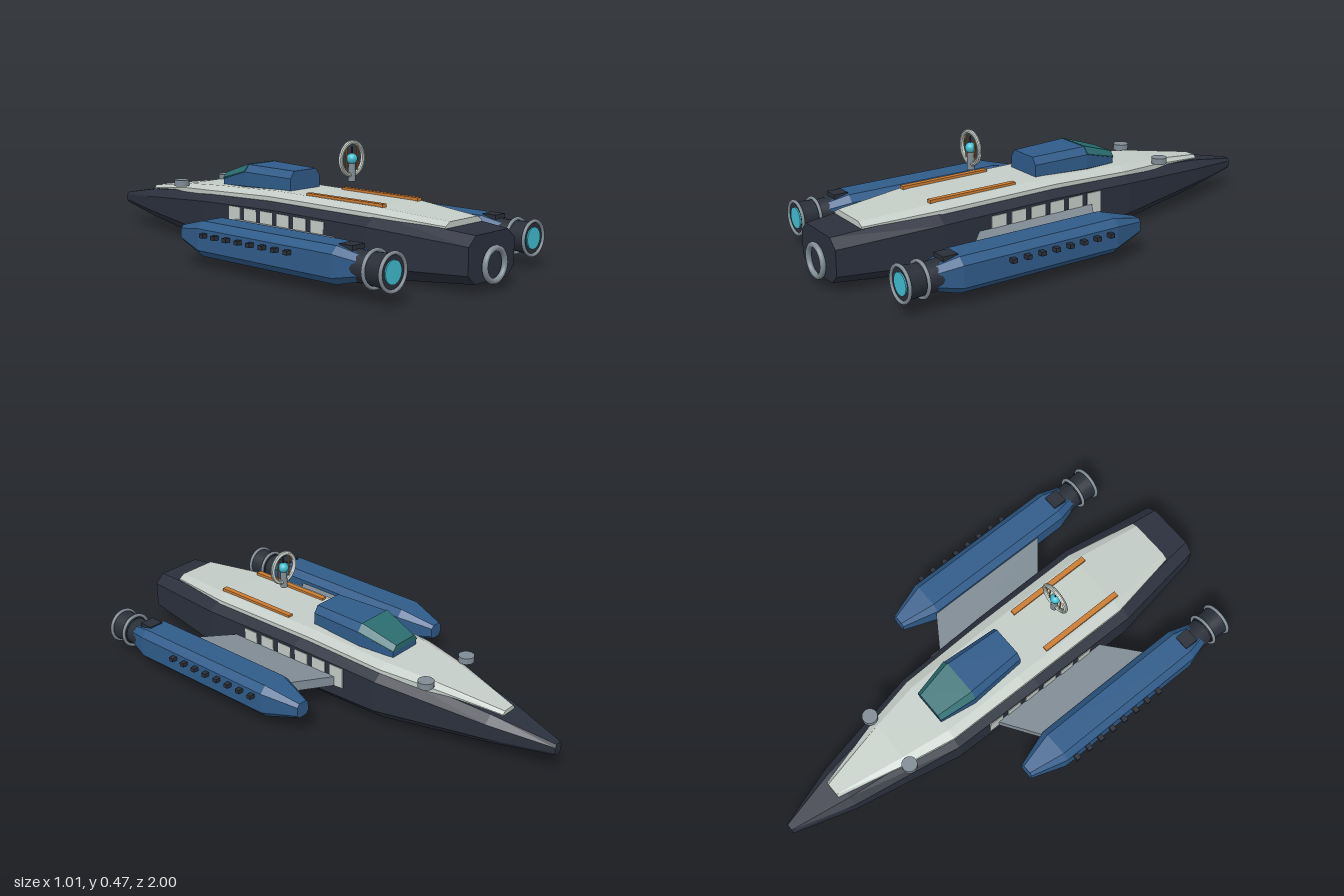
import * as THREE from 'three';

const paint = (name, color) => {
  const m = new THREE.MeshStandardMaterial({ color });
  m.name = name;
  return m;
};
const flat = (m) => { m.flatShading = true; return m; };
const HULL = flat(paint('charcoal hull', 0x2b303d));
const BLUE = flat(paint('blue panels', 0x2f5b89));
const LIGHT = flat(paint('pale deck', 0xc3ccc6));
const GREY = paint('steel grey', 0x7f8b94);
const ORANGE = paint('orange trim', 0xcb7c32);
const CYAN = paint('cyan glow', 0x3fbccf);
const GLASS = flat(paint('teal glass', 0x2a6c70));
const DARK = paint('dark metal', 0x292e38);

function add(parent, name, geometry, material, x = 0, y = 0, z = 0) {
  const mesh = new THREE.Mesh(geometry, material);
  mesh.name = name;
  mesh.position.set(x, y, z);
  parent.add(mesh);
  return mesh;
}

// Chamfered-box cross-sections along z:
// [z, half width, bottom, top, lower chamfer x, y, upper chamfer x, y]
function loft(sections) {
  const rings = sections.map(([z, w, b, t, bx, by, tx, ty]) => [
    [w - bx, b, z], [w, b + by, z], [w, t - ty, z], [w - tx, t, z],
    [tx - w, t, z], [-w, t - ty, z], [-w, b + by, z], [bx - w, b, z],
  ]);
  const pos = [];
  const tri = (...pts) => pts.forEach((p) => pos.push(...p));
  for (let i = 0; i < rings.length - 1; i++) {
    for (let j = 0; j < 8; j++) {
      const k = (j + 1) % 8, r = rings[i], s = rings[i + 1];
      tri(r[j], r[k], s[k]);
      tri(r[j], s[k], s[j]);
    }
  }
  const first = rings[0], last = rings[rings.length - 1];
  for (let j = 1; j < 7; j++) {
    tri(first[0], first[j + 1], first[j]);
    tri(last[0], last[j], last[j + 1]);
  }
  const g = new THREE.BufferGeometry();
  g.setAttribute('position', new THREE.Float32BufferAttribute(pos, 3));
  g.computeVertexNormals();
  return g;
}

// Cylinder lying along z, rear radius first
const tubeZ = (rRear, rFront, length, sides = 24) =>
  new THREE.CylinderGeometry(rRear, rFront, length, sides).rotateX(Math.PI / 2);

function buildNacelle(side) {
  const g = new THREE.Group();
  g.name = side > 0 ? 'leftNacelle' : 'rightNacelle';
  g.position.set(0.408 * side, 0.113, 0);
  add(g, 'nacelleBody', loft([
    [-0.145, 0.03, -0.03, 0.03, 0.012, 0.012, 0.012, 0.012],
    [0, 0.075, -0.067, 0.067, 0.026, 0.026, 0.026, 0.026],
    [0.67, 0.075, -0.067, 0.067, 0.026, 0.026, 0.026, 0.026],
    [0.76, 0.05, -0.045, 0.045, 0.02, 0.02, 0.02, 0.02],
  ]), BLUE);
  add(g, 'topVent', new THREE.BoxGeometry(0.062, 0.04, 0.06), DARK, 0, 0.052, 0.695);
  // Engine bell with two rings and a glowing exhaust
  add(g, 'engineNeck', tubeZ(0.054, 0.06, 0.11), DARK, 0, 0, 0.745);
  add(g, 'engineNozzle', tubeZ(0.062, 0.057, 0.08), DARK, 0, 0, 0.832);
  for (const z of [0.8, 0.874])
    add(g, 'engineRing', new THREE.TorusGeometry(0.065, 0.007, 8, 32), GREY, 0, 0, z);
  add(g, 'exhaustGlow', tubeZ(0.042, 0.042, 0.006), CYAN, 0, 0, 0.874);
  // Row of ports on the outer side
  for (let i = 0; i < 8; i++)
    add(g, 'sidePort', new THREE.BoxGeometry(0.035, 0.016, 0.02), DARK, side * 0.08, 0.021, 0.043 + i * 0.0615);
  return g;
}

function buildWing(side) {
  const outline = [[0.15, -0.13], [0.345, 0], [0.345, 0.55], [0.15, 0.385]];
  const shape = new THREE.Shape(outline.map(([x, z]) => new THREE.Vector2(x * side, z)));
  return new THREE.ExtrudeGeometry(shape, { depth: 0.04, bevelEnabled: false })
    .rotateX(Math.PI / 2).translate(0, 0.14, 0);
}

export function createModel() {
  const ship = new THREE.Group();
  ship.name = 'spaceship';

  // Main hull, narrow nose toward -z
  add(ship, 'hull', loft([
    [-1, 0.02, 0.085, 0.13, 0.007, 0.012, 0.007, 0.012],
    [-0.75, 0.095, 0.057, 0.177, 0.03, 0.03, 0.03, 0.03],
    [-0.3, 0.18, 0.01, 0.226, 0.052, 0.05, 0.052, 0.04],
    [0.1, 0.19, 0.004, 0.238, 0.055, 0.05, 0.055, 0.04],
    [0.57, 0.195, 0, 0.235, 0.055, 0.05, 0.055, 0.04],
    [0.975, 0.135, 0.035, 0.205, 0.04, 0.035, 0.04, 0.035],
  ]), HULL);
  add(ship, 'tailRing', new THREE.TorusGeometry(0.058, 0.011, 10, 36), GREY, 0, 0.093, 0.989);

  // Bevelled upper deck
  add(ship, 'deck', loft([
    [-0.785, 0.036, 0.16, 0.187, 0.001, 0.001, 0.01, 0.012],
    [-0.5, 0.11, 0.19, 0.229, 0.001, 0.001, 0.028, 0.015],
    [-0.3, 0.15, 0.212, 0.246, 0.001, 0.001, 0.036, 0.018],
    [0.05, 0.156, 0.224, 0.26, 0.001, 0.001, 0.038, 0.018],
    [0.55, 0.158, 0.222, 0.257, 0.001, 0.001, 0.038, 0.018],
    [0.855, 0.105, 0.205, 0.236, 0.001, 0.001, 0.025, 0.015],
  ]), LIGHT);

  // Cabin with a sloped windscreen
  add(ship, 'cabin', loft([
    [-0.3, 0.07, 0.235, 0.29, 0.01, 0.01, 0.018, 0.02],
    [-0.15, 0.097, 0.245, 0.34, 0.01, 0.01, 0.024, 0.028],
    [0.09, 0.082, 0.25, 0.335, 0.01, 0.01, 0.02, 0.028],
  ]), BLUE);
  add(ship, 'windscreen', loft([
    [-0.302, 0.072, 0.268, 0.293, 0.001, 0.001, 0.018, 0.02],
    [-0.15, 0.099, 0.312, 0.343, 0.001, 0.001, 0.024, 0.028],
  ]), GLASS);

  for (const side of [1, -1]) {
    add(ship, 'wing', buildWing(side), GREY);
    ship.add(buildNacelle(side));
    add(ship, 'deckRail', new THREE.BoxGeometry(0.022, 0.02, 0.375), ORANGE, side * 0.1, 0.258, 0.39);
    add(ship, 'sensorDisc', new THREE.CylinderGeometry(0.031, 0.031, 0.025, 20), GREY, side * 0.125, 0.236, -0.5);
    // Pale panels along the hull flank
    for (let i = 0; i < 6; i++)
      add(ship, 'flankPanel', new THREE.BoxGeometry(0.02, 0.085, 0.065), LIGHT,
        side * (0.178 + i * 0.0015), 0.145, -0.115 + i * 0.09);
    add(ship, 'ringRod', new THREE.CylinderGeometry(0.003, 0.003, 0.11, 8), ORANGE, side * 0.031, 0.4, 0.332);
  }

  // Antenna: post, glowing orb and ring
  add(ship, 'antennaPost', new THREE.CylinderGeometry(0.013, 0.015, 0.07, 16), GREY, 0, 0.35, 0.332);
  add(ship, 'antennaOrb', new THREE.SphereGeometry(0.021, 20, 14), CYAN, 0, 0.4, 0.332);
  add(ship, 'antennaSpike', new THREE.CylinderGeometry(0.003, 0.003, 0.03, 8), DARK, 0, 0.43, 0.332);
  add(ship, 'antennaRing', new THREE.TorusGeometry(0.062, 0.009, 10, 40), LIGHT, 0, 0.4, 0.332);

  return ship;
}
